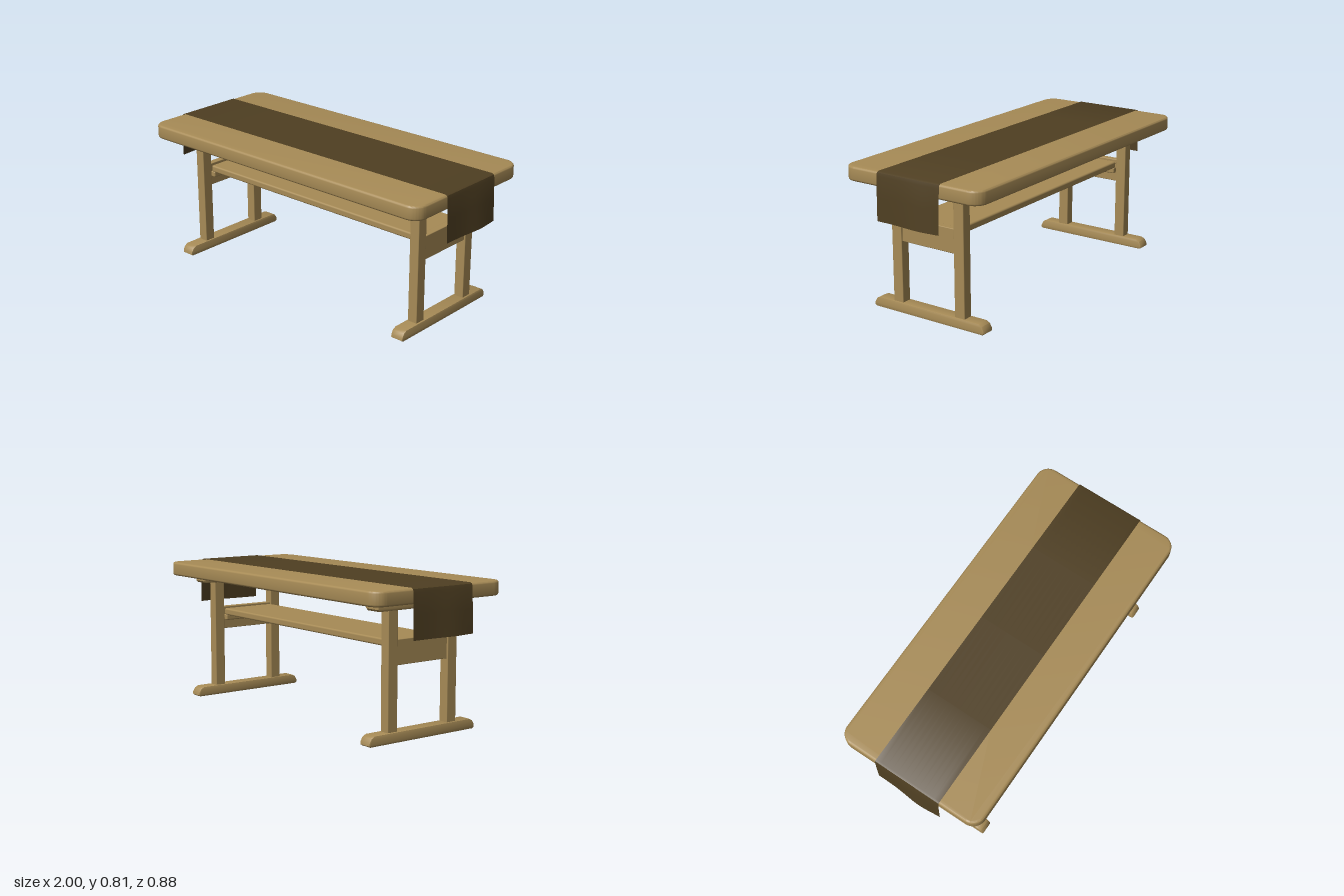
import * as THREE from 'three';
import { toCreasedNormals } from 'three/addons/utils/BufferGeometryUtils.js';
import { RoundedBoxGeometry } from 'three/addons/geometries/RoundedBoxGeometry.js';

const wood = new THREE.MeshStandardMaterial({ color: 0xa78b56 });
wood.name = 'oak wood';
const cloth = new THREE.MeshStandardMaterial({ color: 0x4f3f22, side: THREE.DoubleSide });
cloth.name = 'brown cloth';

function part(parent, name, geometry, x = 0, y = 0, z = 0, material = wood) {
  const mesh = new THREE.Mesh(geometry, material);
  mesh.name = name;
  mesh.position.set(x, y, z);
  parent.add(mesh);
  return mesh;
}

const beam = (w, h, d, r = 0.004) => new RoundedBoxGeometry(w, h, d, 2, r);

// Extrudes a (z, y) side profile across the x axis, centred, with softened edges
function sideProfile(points, width, bevel) {
  const shape = new THREE.Shape(points.map(([z, y]) => new THREE.Vector2(z, y)));
  const g = new THREE.ExtrudeGeometry(shape, {
    depth: width - 2 * bevel, bevelThickness: bevel, bevelSize: bevel,
    bevelOffset: -bevel, bevelSegments: 2,
  });
  g.translate(0, 0, bevel - width / 2);
  g.rotateY(Math.PI / 2);
  return toCreasedNormals(g, 0.6);
}

// Thick board with rounded corners and softened rims
function tabletop() {
  const hx = 0.976, hz = 0.44, r = 0.075, b = 0.012, h = 0.079;
  const s = new THREE.Shape();
  s.absarc(hx - r, hz - r, r, 0, Math.PI / 2);
  s.absarc(r - hx, hz - r, r, Math.PI / 2, Math.PI);
  s.absarc(r - hx, r - hz, r, Math.PI, Math.PI * 1.5);
  s.absarc(hx - r, r - hz, r, Math.PI * 1.5, Math.PI * 2);
  const g = new THREE.ExtrudeGeometry(s, {
    depth: h - 2 * b, bevelThickness: b, bevelSize: b, bevelOffset: -b,
    bevelSegments: 3, curveSegments: 8,
  });
  g.rotateX(-Math.PI / 2);
  g.translate(0, b, 0);
  return toCreasedNormals(g, 0.7);
}

// Cloth strip draped along the top, its ends hanging with a slight bulge
function tableRunner() {
  const half = [[0.986, 0.55], [0.984, 0.68], [0.981, 0.79], [0.977, 0.808], [0.966, 0.814], [0.5, 0.814]];
  const path = [
    ...half.map(([x, y]) => [-x, y]), [0, 0.814],
    ...half.map(([x, y]) => [x, y]).reverse(),
  ];
  const across = 12;
  const g = new THREE.PlaneGeometry(1, 0.404, path.length - 1, across);
  const p = g.attributes.position;
  for (let i = 0; i < p.count; i++) {
    const [x, y] = path[i % path.length];
    const z = -p.getY(i);
    const side = Math.sign(x);
    const hang = THREE.MathUtils.clamp((0.81 - y) / 0.26, 0, 1);
    const bulge = 0.014 * Math.exp(-(((z + side * 0.07) / 0.11) ** 2));
    p.setXYZ(i, x + side * hang * bulge, y, z);
  }
  g.computeVertexNormals();
  return toCreasedNormals(g, 0.7);
}

export function createModel() {
  const table = new THREE.Group();
  table.name = 'table';

  part(table, 'tabletop', tabletop(), 0, 0.731, 0);
  part(table, 'tableRunner', tableRunner(), 0, 0, 0, cloth);
  part(table, 'shelf', beam(1.562, 0.04, 0.34, 0.01), 0, 0.505, 0);

  // Foot with sloped upper ends
  const foot = sideProfile([
    [-0.355, 0], [0.355, 0], [0.367, 0.008], [0.365, 0.024], [0.352, 0.046], [0.33, 0.057],
    [-0.33, 0.057], [-0.352, 0.046], [-0.365, 0.024], [-0.367, 0.008],
  ], 0.077, 0.006);
  // Rail under the top with clipped lower corners
  const rail = sideProfile([
    [-0.312, 0.689], [0.312, 0.689], [0.323, 0.7], [0.323, 0.733], [-0.323, 0.733], [-0.323, 0.7],
  ], 0.098, 0.005);

  for (const side of [-1, 1]) {
    const frame = new THREE.Group();
    frame.name = side > 0 ? 'leftEndFrame' : 'rightEndFrame';
    part(frame, 'foot', foot, side * 0.807);
    part(frame, 'topRail', rail, side * 0.807);
    part(frame, 'crossPanel', beam(0.04, 0.135, 0.36), side * 0.806, 0.4675, 0);
    part(frame, 'shelfCleat', beam(0.034, 0.036, 0.34, 0.008), side * 0.772, 0.471, 0);
    for (const end of [-1, 1]) {
      part(frame, end > 0 ? 'frontLeg' : 'backLeg', beam(0.058, 0.65, 0.064), side * 0.806, 0.375, end * 0.205);
    }
    table.add(frame);
  }
  return table;
}
